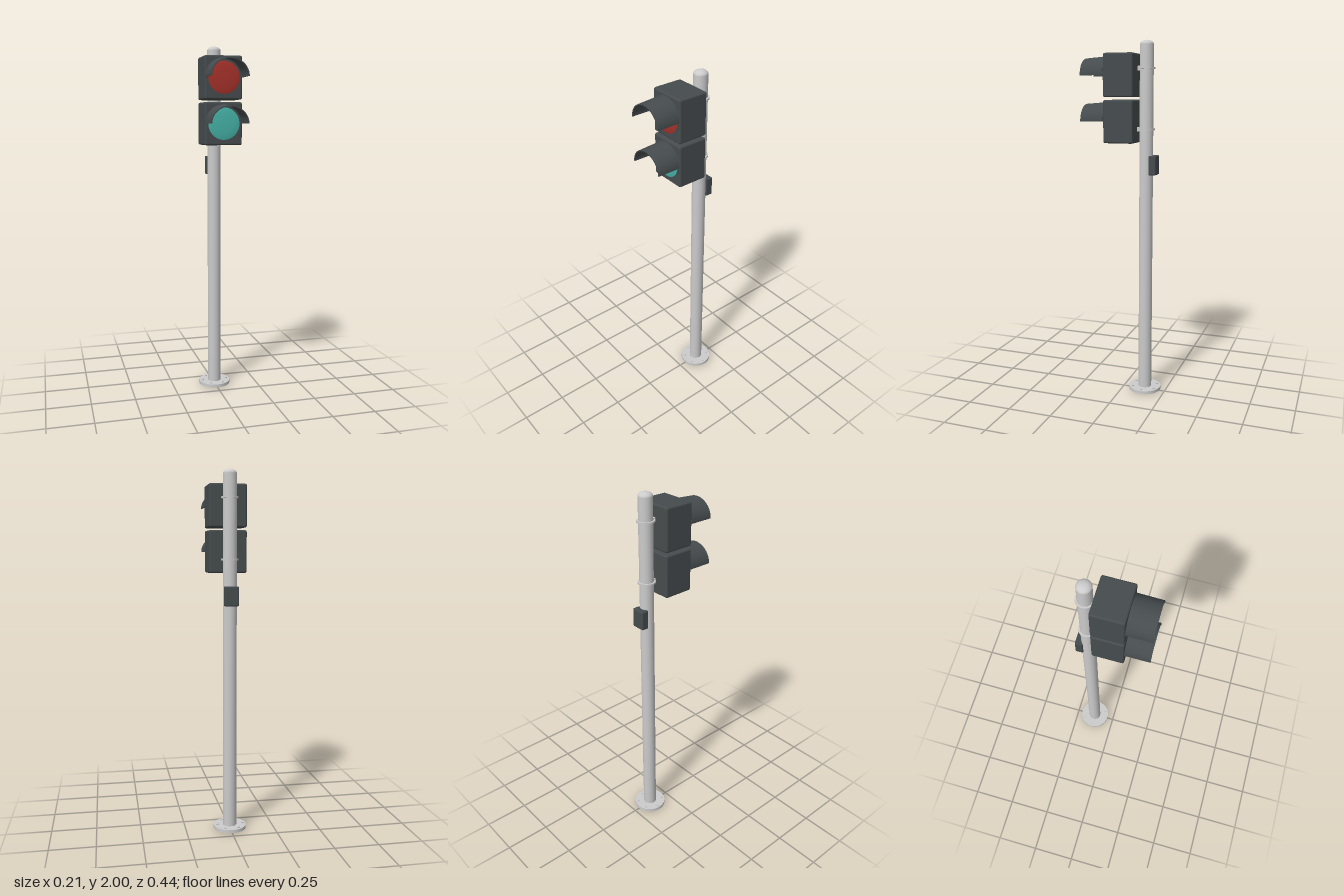
import * as THREE from 'three';
import { RoundedBoxGeometry } from 'three/addons/geometries/RoundedBoxGeometry.js';

const POLE_Z = -0.13;
const POLE_R = 0.038;

export function createModel() {
  const model = new THREE.Group();
  const grey = new THREE.MeshStandardMaterial({ color: 0xcccccc });
  const dark = new THREE.MeshStandardMaterial({ color: 0x464c4e });
  const darkThin = new THREE.MeshStandardMaterial({ color: 0x464c4e, side: THREE.DoubleSide });
  const red = new THREE.MeshStandardMaterial({ color: 0xa8322b });
  const green = new THREE.MeshStandardMaterial({ color: 0x45b3a7 });

  const add = (parent, name, geometry, material, x = 0, y = 0, z = 0) => {
    const mesh = new THREE.Mesh(geometry, material);
    mesh.name = name;
    mesh.position.set(x, y, z);
    parent.add(mesh);
    return mesh;
  };

  // Pole with a rounded cap
  const profile = [new THREE.Vector2(0, 0), new THREE.Vector2(POLE_R, 0)];
  for (let i = 0; i <= 8; i++) {
    const a = (i / 8) * Math.PI / 2;
    profile.push(new THREE.Vector2(POLE_R * Math.cos(a), 1.977 + 0.023 * Math.sin(a)));
  }
  add(model, 'pole', new THREE.LatheGeometry(profile, 32), grey, 0, 0, POLE_Z);

  // Bolted base flange
  add(model, 'basePlate', new THREE.CylinderGeometry(0.092, 0.092, 0.018, 48), grey, 0, 0.014, POLE_Z);
  for (let i = 0; i < 6; i++) {
    const a = i * Math.PI / 3;
    add(model, 'baseBolt', new THREE.CylinderGeometry(0.007, 0.007, 0.022, 12), grey,
      0.073 * Math.cos(a), 0.018, POLE_Z + 0.073 * Math.sin(a));
  }

  // Clamps holding the lamps to the pole
  for (const y of [1.852, 1.524]) {
    add(model, 'clampBand', new THREE.CylinderGeometry(0.047, 0.047, 0.01, 32), grey, 0, y, POLE_Z);
    add(model, 'clampBracket', new THREE.BoxGeometry(0.04, 0.024, 0.03), grey, 0, y, -0.09);
  }

  // Visor: half ring swept forward, its crown dropping slightly toward the front
  const arch = new THREE.Shape();
  arch.absarc(0, 0, 0.105, 0, Math.PI, false);
  arch.absarc(0, 0, 0.099, Math.PI, 0, true);
  const visor = new THREE.ExtrudeGeometry(arch, { depth: 0.132, bevelEnabled: false, curveSegments: 16 });
  const p = visor.attributes.position;
  for (let i = 0; i < p.count; i++) p.setY(i, p.getY(i) * (1 - 0.1 * p.getZ(i) / 0.132));
  visor.computeVertexNormals();

  // Shallow domed lens facing +z
  const lensProfile = [[0.088, 0], [0.088, 0.003], [0.06, 0.006], [0.03, 0.0075], [0, 0.008]]
    .map(([r, h]) => new THREE.Vector2(r, h));
  const lens = new THREE.LatheGeometry(lensProfile, 40).rotateX(Math.PI / 2);
  const bezel = new THREE.CylinderGeometry(0.099, 0.099, 0.006, 40).rotateX(Math.PI / 2);

  // Two signal heads
  for (const [name, y, material] of [['upperLamp', 1.814, red], ['lowerLamp', 1.566, green]]) {
    const lamp = new THREE.Group();
    lamp.name = name;
    lamp.position.y = y;
    add(lamp, 'housing', new RoundedBoxGeometry(0.21, 0.234, 0.17, 3, 0.01), dark, 0, 0, 0.002);
    add(lamp, 'bezel', bezel, dark, 0, 0, 0.086);
    add(lamp, 'lens', lens, material, 0, 0, 0.088);
    add(lamp, 'visor', visor, darkThin, 0, 0, 0.088);
    model.add(lamp);
  }

  // Control box on the back of the pole
  add(model, 'controlBox', new RoundedBoxGeometry(0.078, 0.106, 0.042, 2, 0.006), dark, 0, 1.327, -0.174);

  return model;
}
